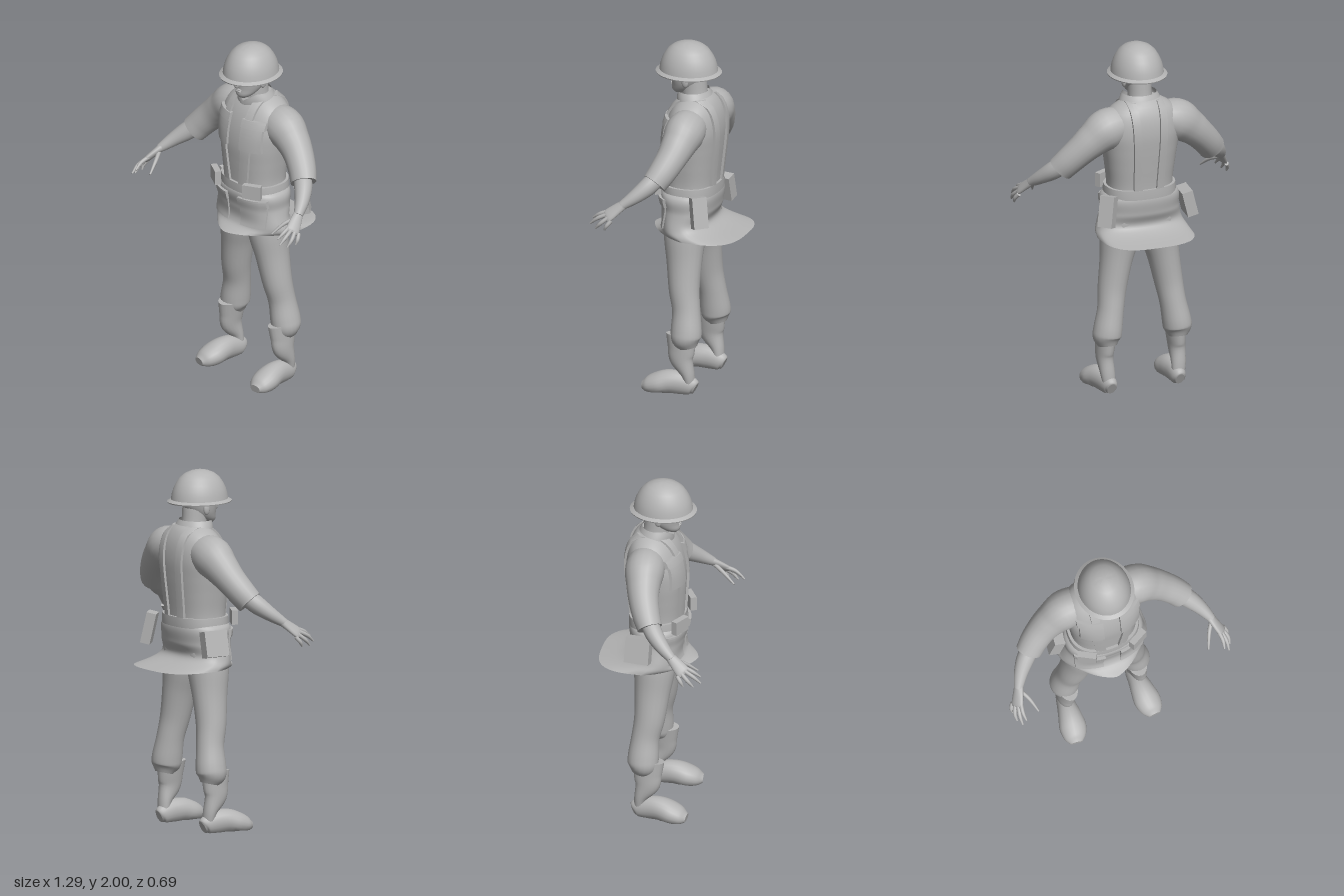
import * as THREE from 'three';
import { toCreasedNormals } from 'three/addons/utils/BufferGeometryUtils.js';

const grey = new THREE.MeshStandardMaterial({ color: 0xb4b4b4, side: THREE.DoubleSide });
grey.name = 'plain grey';

// Smoothly interpolated rows of numbers
function spline(keys, rows) {
  const f = new THREE.CubicInterpolant(keys, rows.flat(), rows[0].length);
  return (t) => Array.from(f.evaluate(t));
}

// Skin a list of closed rings; optional end caps
function skin(rings, capped) {
  const n = rings[0].length, pos = [], idx = [];
  rings.forEach((r) => r.forEach((p) => pos.push(p.x, p.y, p.z)));
  for (let i = 0; i < rings.length - 1; i++) {
    for (let j = 0; j < n; j++) {
      const a = i * n + j, b = i * n + (j + 1) % n;
      idx.push(a, b, a + n, b, b + n, a + n);
    }
  }
  if (capped) {
    [rings[0], rings[rings.length - 1]].forEach((ring, end) => {
      const c = new THREE.Vector3();
      ring.forEach((p) => c.addScaledVector(p, 1 / n));
      const base = pos.length / 3;
      pos.push(c.x, c.y, c.z);
      ring.forEach((p) => pos.push(p.x, p.y, p.z));
      for (let j = 0; j < n; j++) {
        const a = base + 1 + j, b = base + 1 + (j + 1) % n;
        idx.push(base, end ? a : b, end ? b : a);
      }
    });
  }
  const g = new THREE.BufferGeometry();
  g.setAttribute('position', new THREE.Float32BufferAttribute(pos, 3));
  g.setIndex(idx);
  g.computeVertexNormals();
  return g;
}

// Tapered tube through points [x, y, z, radius across, radius along ref]
function limb(points, ref = [0, 0, 1], sides = 20, steps = 5) {
  const f = spline(points.map((_, i) => i), points);
  const r = new THREE.Vector3(...ref).normalize(), rings = [], last = points.length - 1;
  for (let i = 0; i <= last * steps; i++) {
    const s = i / steps, [x, y, z, ra, rb] = f(s);
    const p = f(Math.max(0, s - 0.1)), q = f(Math.min(last, s + 0.1));
    const t = new THREE.Vector3(q[0] - p[0], q[1] - p[1], q[2] - p[2]).normalize();
    const u = t.clone().cross(r).normalize(), v = t.clone().cross(u);
    rings.push(Array.from({ length: sides }, (_, j) => {
      const a = j / sides * Math.PI * 2;
      return new THREE.Vector3(x, y, z).addScaledVector(u, Math.cos(a) * ra).addScaledVector(v, Math.sin(a) * rb);
    }));
  }
  return skin(rings, true);
}

// Upright body shell from rows [y, half width, front z, back z, front power, back power]
function shell(rows, steps = 24, capped = false) {
  const at = spline(rows.map((r) => r[0]), rows.map((r) => r.slice(1)));
  const y0 = rows[0][0], y1 = rows[rows.length - 1][0], rings = [], n = 48;
  for (let i = 0; i <= steps; i++) {
    const y = y0 + (y1 - y0) * i / steps, [w, zf, zb, nf, nb] = at(y);
    rings.push(Array.from({ length: n }, (_, j) => {
      const a = -j / n * Math.PI * 2, c = Math.cos(a), s = Math.sin(a), e = 2 / (s > 0 ? nf : nb);
      return new THREE.Vector3(w * Math.sign(c) * Math.abs(c) ** e, y,
        (zf + zb) / 2 + (zf - zb) / 2 * Math.sign(s) * Math.abs(s) ** e);
    }));
  }
  const surface = (x, y, side) => {
    const [w, zf, zb, nf, nb] = at(Math.min(y1, Math.max(y0, y))), p = side > 0 ? nf : nb;
    const k = Math.min(0.97, Math.abs(x) / w);
    return (zf + zb) / 2 + side * (zf - zb) / 2 * (1 - k ** p) ** (1 / p);
  };
  return { geo: skin(rings, capped), surface };
}

// Cloth panel laid on a shell
function panel(surface, side, x, y, w, h, t = 0.03, lean = 0) {
  const g = new THREE.BoxGeometry(w, h, t, 6, 14, 1), p = g.attributes.position;
  for (let i = 0; i < p.count; i++) {
    const px = x + p.getX(i) + lean * p.getY(i), py = y + p.getY(i);
    p.setXYZ(i, px, py, surface(px, py, side) + p.getZ(i));
  }
  return toCreasedNormals(g, 0.7);
}

function block(size, at, rot) {
  const m = new THREE.Matrix4().makeRotationFromEuler(new THREE.Euler(...rot, 'YXZ')).setPosition(...at);
  return new THREE.BoxGeometry(...size).applyMatrix4(m);
}

function ball(at, size) {
  return new THREE.SphereGeometry(1, 16, 12).scale(...size).translate(...at);
}

function mirrored(geo) {
  const g = (geo.index ? geo.toNonIndexed() : geo.clone());
  for (const key of ['position', 'normal']) {
    const a = g.attributes[key];
    for (let i = 0; i < a.count; i += 3) {
      const [p, q, r] = [0, 1, 2].map((k) => [-a.getX(i + k), a.getY(i + k), a.getZ(i + k)]);
      a.setXYZ(i, ...p); a.setXYZ(i + 1, ...r); a.setXYZ(i + 2, ...q);
    }
  }
  return g;
}

export function createModel() {
  const model = new THREE.Group();
  model.name = 'helmetedFigure';
  const add = (name, geo) => {
    const m = new THREE.Mesh(geo, grey);
    m.name = name;
    model.add(m);
  };
  const pair = (name, geo) => { add(name + 'Left', geo); add(name + 'Right', mirrored(geo)); };

  // Helmet: inner bowl, brim, outer dome
  const bowl = [[0, 1.965], [0.08, 1.94], [0.125, 1.88], [0.138, 1.835], [0.162, 1.82], [0.164, 1.826], [0.145, 1.838],
    [0.141, 1.865], [0.133, 1.895], [0.12, 1.925], [0.1, 1.957], [0.075, 1.979], [0.045, 1.993], [0.02, 1.999], [0, 2]];
  add('helmet', toCreasedNormals(new THREE.LatheGeometry(bowl.map((p) => new THREE.Vector2(...p)), 40), 0.6)
    .scale(1, 1, 1.14).translate(0, 0, 0.003));

  // Head and face
  add('head', shell([[1.698, 0.025, 0.085, 0.03, 2, 2], [1.712, 0.045, 0.097, 0, 2, 2], [1.75, 0.07, 0.098, -0.06, 2, 2],
    [1.8, 0.084, 0.1, -0.1, 2.2, 2], [1.85, 0.09, 0.1, -0.11, 2.2, 2], [1.93, 0.085, 0.08, -0.1, 2, 2]], 20, true).geo);
  add('nose', ball([0, 1.785, 0.102], [0.014, 0.026, 0.024]));
  add('upperLip', ball([0, 1.751, 0.097], [0.026, 0.006, 0.009]));
  add('lowerLip', ball([0, 1.74, 0.096], [0.022, 0.006, 0.009]));
  pair('ear', ball([0.086, 1.79, -0.01], [0.012, 0.033, 0.02]));
  add('neck', limb([[0, 1.62, -0.05, 0.078, 0.075], [0, 1.7, -0.035, 0.068, 0.072], [0, 1.79, -0.03, 0.066, 0.07]]));

  // Jacket body and collar
  const torso = shell([[1.12, 0.19, 0.115, -0.165, 2.3, 2.4], [1.2, 0.185, 0.118, -0.168, 2.3, 2.4],
    [1.32, 0.198, 0.125, -0.18, 2.3, 2.4], [1.42, 0.212, 0.128, -0.19, 2.3, 2.4], [1.52, 0.222, 0.115, -0.195, 2.3, 2.4],
    [1.6, 0.21, 0.09, -0.185, 2.2, 2.3], [1.65, 0.18, 0.063, -0.167, 2.1, 2.2], [1.69, 0.12, 0.03, -0.14, 2, 2],
    [1.705, 0.085, 0.015, -0.12, 2, 2]], 36, true);
  add('jacketBody', torso.geo);
  const collar = shell([[1.66, 0.13, 0.06, -0.145, 2, 2], [1.7, 0.112, 0.064, -0.128, 2, 2],
    [1.725, 0.098, 0.062, -0.113, 2, 2]], 6).geo;
  const cp = collar.attributes.position;
  for (let i = 0; i < cp.count; i++) {
    if (cp.getZ(i) > 0) cp.setY(i, cp.getY(i) - 0.055 * Math.max(0, 1 - Math.abs(cp.getX(i)) / 0.08));
  }
  collar.computeVertexNormals();
  add('collar', collar);

  // Sleeves, forearms and hands
  pair('sleeve', limb([[0.07, 1.57, -0.06, 0.08, 0.09], [0.2, 1.545, -0.06, 0.117, 0.11], [0.285, 1.49, -0.052, 0.1, 0.095],
    [0.35, 1.433, -0.037, 0.086, 0.084], [0.41, 1.37, -0.01, 0.08, 0.077], [0.452, 1.318, 0.018, 0.077, 0.07]]));
  pair('forearm', limb([[0.42, 1.36, 0, 0.05, 0.05], [0.48, 1.305, 0.045, 0.052, 0.05], [0.53, 1.255, 0.1, 0.04, 0.04],
    [0.565, 1.213, 0.155, 0.027, 0.028], [0.572, 1.204, 0.165, 0.024, 0.026]]));
  pair('palm', limb([[0.562, 1.216, 0.15, 0.023, 0.026], [0.582, 1.185, 0.19, 0.019, 0.034],
    [0.603, 1.15, 0.232, 0.016, 0.04], [0.61, 1.14, 0.246, 0.008, 0.034]], [1, -1, -1], 16, 4));
  const fingers = {
    thumb: [[0.567, 1.19, 0.175], [0.532, 1.163, 0.232], [0.503, 1.11, 0.3]],
    indexFinger: [[0.585, 1.168, 0.238], [0.592, 1.147, 0.288], [0.586, 1.118, 0.33]],
    middleFinger: [[0.6, 1.155, 0.236], [0.612, 1.127, 0.293], [0.61, 1.09, 0.337]],
    ringFinger: [[0.614, 1.14, 0.228], [0.631, 1.107, 0.267], [0.629, 1.073, 0.298]],
    littleFinger: [[0.623, 1.127, 0.207], [0.637, 1.1, 0.228], [0.636, 1.073, 0.242]],
  };
  for (const [name, pts] of Object.entries(fingers)) {
    pair(name, limb(pts.map((p, i) => [...p, ...(i < 2 ? [0.012 - i * 0.001, 0.012 - i * 0.001] : [0.005, 0.005])]), [1, 0, 0], 10, 4));
  }

  // Jacket skirt with flared hem and hip pockets
  const skirt = shell([[0.91, 0.265, 0.2, -0.345, 1.5, 3], [0.93, 0.262, 0.145, -0.235, 1.9, 2.7],
    [0.96, 0.25, 0.12, -0.165, 2.2, 2.4], [1.05, 0.226, 0.122, -0.172, 2.3, 2.3], [1.145, 0.215, 0.132, -0.178, 2.3, 2.3],
    [1.16, 0.195, 0.12, -0.17, 2.3, 2.3]], 30);
  add('jacketSkirt', skirt.geo);
  pair('hipPocket', panel(skirt.surface, 1, 0.125, 1.03, 0.15, 0.16, 0.02));
  pair('hipPocketFlap', panel(skirt.surface, 1, 0.125, 1.1, 0.16, 0.045, 0.034));

  // Belt with pouches
  add('belt', shell([[1.14, 0.204, 0.132, -0.182, 2.3, 2.4], [1.168, 0.203, 0.133, -0.183, 2.3, 2.4],
    [1.195, 0.2, 0.132, -0.182, 2.3, 2.4]], 2, true).geo);
  pair('beltPouch', block([0.105, 0.08, 0.035], [0.15, 1.185, 0.128], [0, 0.5, 0]));
  add('hipBoxRight', block([0.062, 0.145, 0.14], [-0.262, 1.066, -0.085], [0, -0.12, -0.24]));
  add('hipBoxLeft', block([0.055, 0.175, 0.085], [0.245, 1.095, -0.16], [0, 0.75, 0.22]));

  // Braces and chest pockets
  pair('frontBrace', panel(torso.surface, 1, 0.085, 1.63, 0.045, 0.13, 0.03));
  pair('lowerBrace', panel(torso.surface, 1, 0.077, 1.31, 0.055, 0.25, 0.028, 0.12));
  pair('chestPocket', panel(torso.surface, 1, 0.112, 1.48, 0.125, 0.14, 0.03));
  pair('chestPocketFlap', panel(torso.surface, 1, 0.117, 1.57, 0.135, 0.045, 0.042));
  pair('backBrace', panel(torso.surface, -1, 0.075, 1.44, 0.045, 0.51, 0.028, 0.04));

  // Trousers, gaiters and boots
  pair('trouserLeg', limb([[0.1, 1.05, -0.025, 0.1, 0.118], [0.115, 0.9, -0.022, 0.11, 0.118], [0.142, 0.75, -0.03, 0.09, 0.1],
    [0.168, 0.6, -0.04, 0.08, 0.087], [0.186, 0.48, -0.06, 0.074, 0.079], [0.205, 0.37, -0.068, 0.08, 0.087],
    [0.212, 0.32, -0.07, 0.078, 0.083], [0.212, 0.275, -0.08, 0.052, 0.055]]));
  pair('gaiter', limb([[0.205, 0.345, -0.04, 0.056, 0.09], [0.211, 0.27, -0.042, 0.05, 0.08], [0.216, 0.2, -0.045, 0.045, 0.07],
    [0.213, 0.12, -0.08, 0.042, 0.038], [0.207, 0.05, -0.092, 0.036, 0.028]]));
  const boot = limb([[0.205, 0.035, -0.122, 0.026, 0.035], [0.205, 0.045, -0.1, 0.042, 0.055], [0.21, 0.058, -0.03, 0.054, 0.067],
    [0.214, 0.06, 0.03, 0.066, 0.067], [0.22, 0.045, 0.09, 0.075, 0.062], [0.228, 0.03, 0.145, 0.062, 0.048],
    [0.232, 0.024, 0.18, 0.034, 0.024]], [0, 1, 0]);
  const bp = boot.attributes.position;
  for (let i = 0; i < bp.count; i++) bp.setY(i, Math.max(0, bp.getY(i) - 0.004));
  boot.computeVertexNormals();
  pair('boot', boot);
  return model;
}
